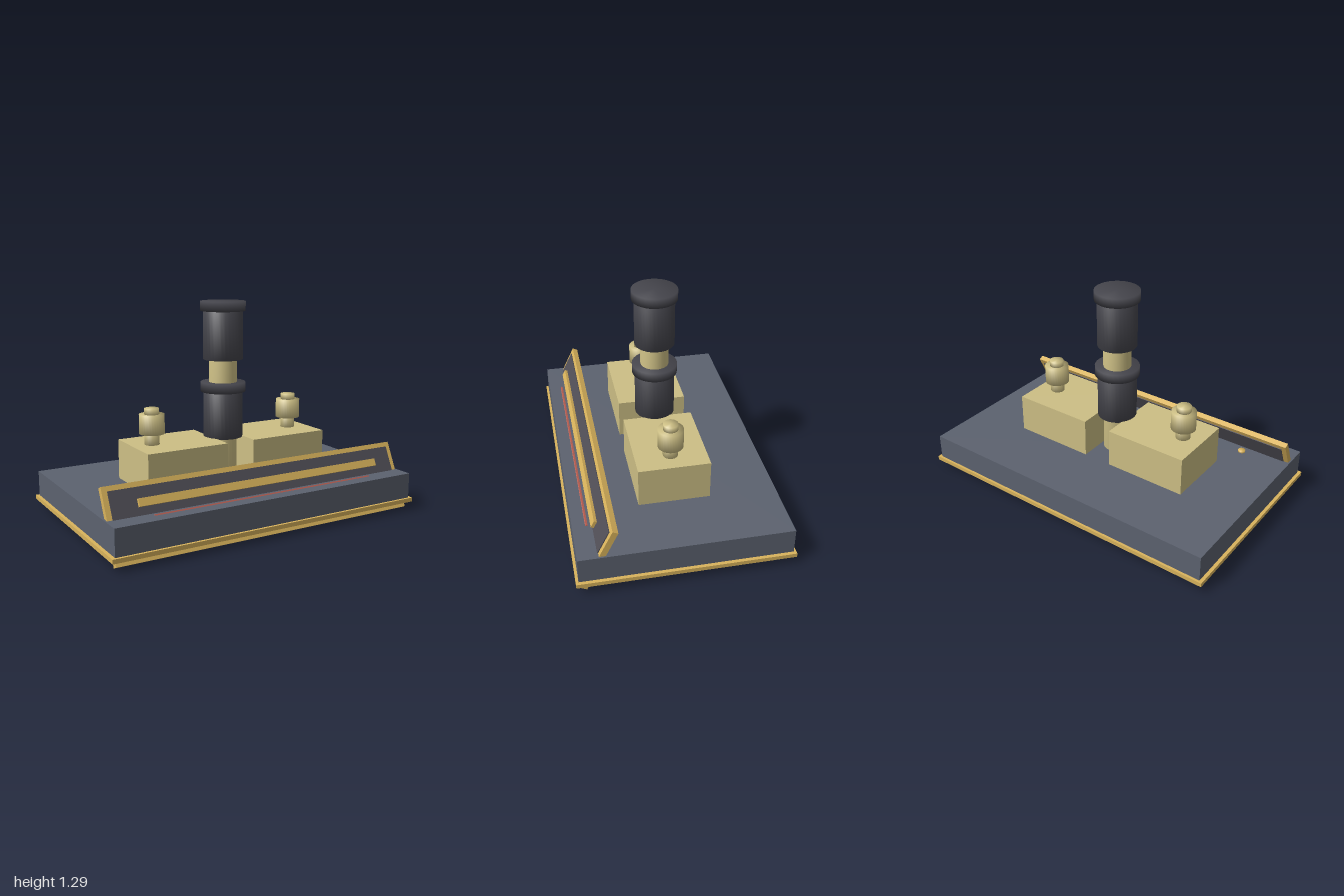
import * as THREE from 'three';

const mat = (color) => new THREE.MeshStandardMaterial({ color });

export function createModel() {
  const slate = mat(0x5c626f), gold = mat(0xd9b35c), brass = mat(0xcdbf85);
  const knob = mat(0x45454c), panel = mat(0x504e56), rubber = mat(0x2f2f34), red = mat(0xc8685a);
  const model = new THREE.Group();

  const box = (name, parent, material, size, pos) => {
    const mesh = new THREE.Mesh(new THREE.BoxGeometry(...size), material);
    mesh.name = name;
    mesh.position.set(...pos);
    parent.add(mesh);
    return mesh;
  };
  // Upright cylinder from y0 to y1, shaded softly over its rims
  const drum = (name, parent, material, r, y0, y1, x = 0, z = 0) => {
    const profile = [[0, y0], [r, y0], [r, y1], [0, y1]].map((p) => new THREE.Vector2(...p));
    const mesh = new THREE.Mesh(new THREE.LatheGeometry(profile, 32), material);
    mesh.name = name;
    mesh.position.set(x, 0, z);
    parent.add(mesh);
    return mesh;
  };

  // Base slab with a gold trim around its lower edge
  box('base', model, slate, [1.96, 0.181, 1.21], [0, 0.1445, 0]);
  box('baseTrim', model, gold, [2, 0.025, 1.24], [0, 0.0675, 0]);
  for (const x of [-0.78, 0.78])
    for (const z of [-0.425, 0.425]) drum('foot', model, rubber, 0.06, 0.005, 0.056, x, z);

  // Central lever column: brass stem with two dark grips
  const lever = new THREE.Group();
  lever.name = 'lever';
  model.add(lever);
  drum('stem', lever, brass, 0.085, 0.23, 1.0);
  drum('lowerGrip', lever, knob, 0.12, 0.47, 0.76);
  drum('lowerCollar', lever, knob, 0.136, 0.75, 0.807);
  drum('upperGrip', lever, knob, 0.12, 0.945, 1.24);
  drum('upperCap', lever, knob, 0.136, 1.235, 1.293);

  // Mirrored blocks with terminal posts
  for (const side of [-1, 1]) {
    box('block', model, brass, [0.515, 0.245, 0.42], [side * 0.3475, 0.3525, 0]);
    const post = new THREE.Group();
    post.name = 'terminalPost';
    post.position.x = side * 0.48;
    model.add(post);
    drum('postStem', post, brass, 0.044, 0.47, 0.545);
    drum('postNut', post, brass, 0.075, 0.54, 0.655);
    drum('postTip', post, brass, 0.044, 0.65, 0.69);
    drum('stud', model, gold, 0.022, 0.23, 0.248, side * 0.68, 0.392);
  }

  // Tilted front plate passing through the base
  const plate = new THREE.Group();
  plate.name = 'tiltedPlate';
  plate.position.set(0, 0.2015, 0.485);
  plate.rotation.x = -0.447;
  model.add(plate);
  box('plateFrame', plate, gold, [1.94, 0.417, 0.034], [0, 0, 0]);
  box('platePanel', plate, panel, [1.88, 0.36, 0.044], [0, 0, 0]);
  box('plateBar', plate, gold, [1.59, 0.044, 0.018], [0, 0.092, 0.049]);
  box('plateStrip', plate, red, [1.44, 0.03, 0.012], [0, 0.003, 0.05]);

  return model;
}
